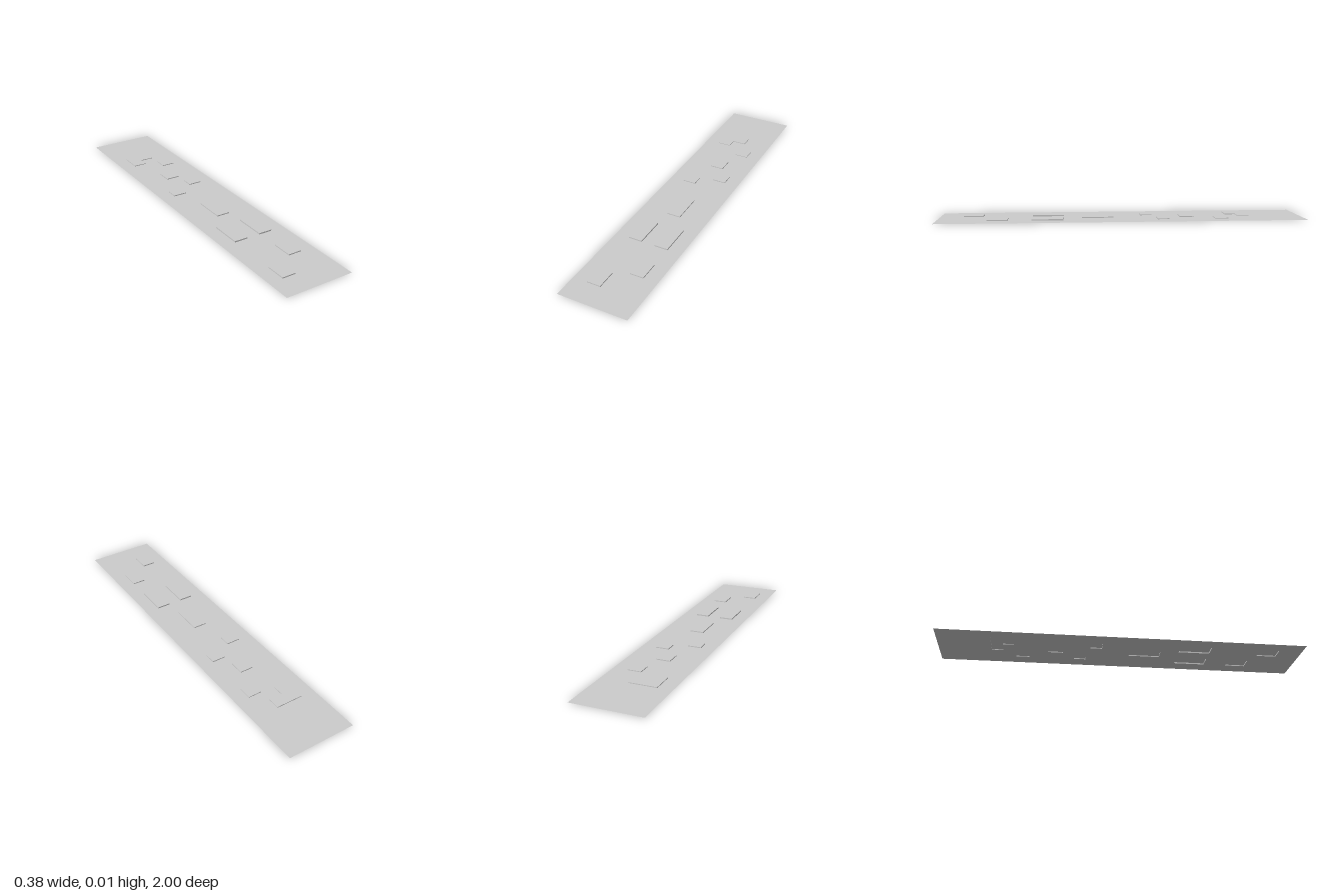
import * as THREE from 'three';
import { mergeGeometries } from 'three/addons/utils/BufferGeometryUtils.js';

const material = new THREE.MeshStandardMaterial({ color: 0xcccccc, side: THREE.DoubleSide });

// Plan outlines are lists of [x, z], counter-clockwise seen from above
const rect = (x0, x1, z0, z1) => [[x0, z1], [x1, z1], [x1, z0], [x0, z0]];
const points = (outline) => outline.map(([x, z]) => new THREE.Vector2(x, -z));

function flatGeometry(outline, holes, y) {
  const shape = new THREE.Shape(points(outline));
  shape.holes = holes.map((h) => new THREE.Path(points(h).reverse()));
  return new THREE.ShapeGeometry(shape).rotateX(-Math.PI / 2).translate(0, y, 0);
}

// Raised pad: a lid and one upright strip per edge, open underneath
function padGeometry(outline, height) {
  const parts = [flatGeometry(outline, [], height)];
  outline.forEach(([ax, az], i) => {
    const [bx, bz] = outline[(i + 1) % outline.length];
    const wall = new THREE.PlaneGeometry(Math.hypot(bx - ax, bz - az), height);
    wall.rotateY(Math.atan2(az - bz, bx - ax));
    wall.translate((ax + bx) / 2, height / 2, (az + bz) / 2);
    parts.push(wall);
  });
  return mergeGeometries(parts);
}

export function createModel() {
  const group = new THREE.Group();
  const add = (name, geometry) => {
    const mesh = new THREE.Mesh(geometry, material);
    mesh.name = name;
    group.add(mesh);
  };

  // Three columns of pads across the strip
  const right = [-0.112, -0.0375], middle = [-0.0375, 0.0375], left = [0.0375, 0.112];
  const pads = [
    ['frontRightPad', rect(...right, 0.763, 0.87), 0.0055],
    ['frontLeftPad', rect(...left, 0.619, 0.728), 0.0055],
    ['longRightPad', rect(...right, 0.318, 0.49), 0.007],
    ['longLeftPad', rect(...left, 0.318, 0.49), 0.007],
    ['longMiddlePad', rect(...middle, 0.045, 0.217), 0.0053],
    ['smallRightPad', rect(...right, -0.174, -0.11), 0.005],
    ['smallLeftPad', rect(...left, -0.257, -0.192), 0.005],
    ['smallMiddlePad', rect(...middle, -0.405, -0.323), 0.005],
    ['rearLeftPad', rect(...left, -0.58, -0.508), 0.004],
    ['rearCornerPad', [[-0.112, -0.593], [-0.0375, -0.593], [-0.0375, -0.65],
      [0.0375, -0.65], [0.0375, -0.713], [-0.112, -0.713]], 0.004],
  ];

  // Thin base strip, cut out beneath every pad
  add('baseStrip', flatGeometry(rect(-0.19, 0.19, -1, 1), pads.map((p) => p[1]), 0));
  for (const [name, outline, height] of pads) add(name, padGeometry(outline, height));
  return group;
}
